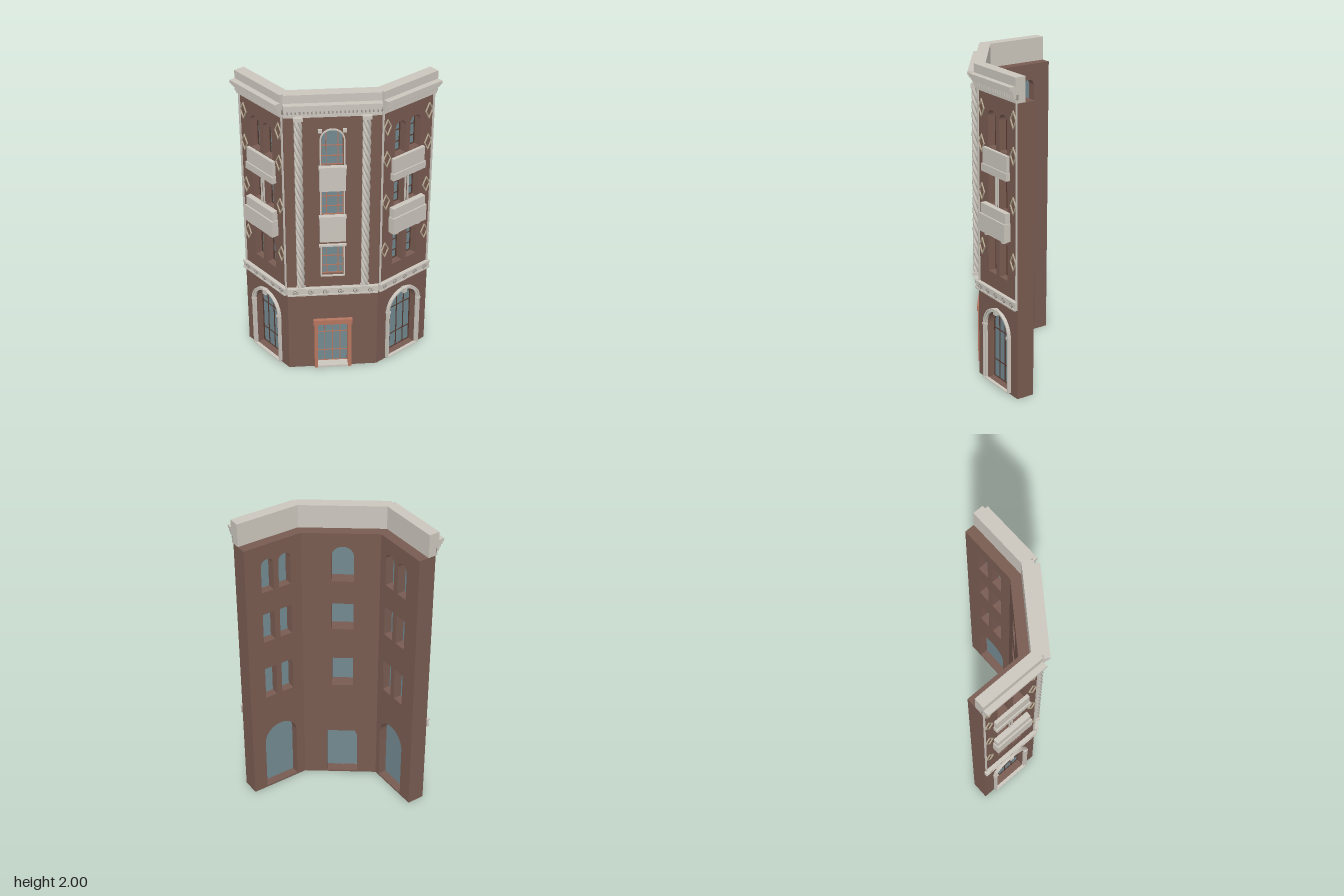
import * as THREE from 'three';

const mat = (name, color) => {
  const m = new THREE.MeshStandardMaterial({ color });
  m.name = name;
  return m;
};

export function createModel() {
  const brick = mat('brick', 0x785b51), stone = mat('stone', 0xcbc6bd), glass = mat('glass', 0x728990);
  const terracotta = mat('terracotta', 0xb4755f), wood = mat('dark wood', 0x553a31);
  const cream = mat('cream trim', 0xb9ad94), worn = mat('worn stone', 0x98938a);
  const T = 0.115; // wall thickness
  const model = new THREE.Group();
  model.name = 'cornerBuilding';

  const add = (parent, name, geo, material, x = 0, y = 0, z = 0) => {
    const m = new THREE.Mesh(geo, material);
    m.name = name;
    m.position.set(x, y, z);
    parent.add(m);
    return m;
  };

  // Box given by its limits; z is the distance out of the wall face
  const box = (parent, name, material, x0, x1, y0, y1, z0, z1) =>
    add(parent, name, new THREE.BoxGeometry(x1 - x0, y1 - y0, z1 - z0), material,
      (x0 + x1) / 2, (y0 + y1) / 2, (z0 + z1) / 2);

  // Rectangular or round-headed outline
  const outline = (o, grow = 0, C = THREE.Shape) => {
    const s = new C(), r = o.w / 2 + grow, b = o.y0 - (o.door ? 0 : grow), t = o.y1 + grow;
    s.moveTo(o.x - r, b);
    s.lineTo(o.x + r, b);
    if (o.arch) {
      s.lineTo(o.x + r, t - r);
      s.absarc(o.x, t - r, r, 0, Math.PI, false);
    } else {
      s.lineTo(o.x + r, t);
      s.lineTo(o.x - r, t);
    }
    s.closePath();
    return s;
  };
  const extrude = (shape, depth, z) => {
    const g = new THREE.ExtrudeGeometry(shape, { depth, bevelEnabled: false, curveSegments: 16 });
    return g.translate(0, 0, z);
  };
  const ring = (o, outer, inner, depth, z) => {
    const s = outline(o, outer);
    s.holes.push(outline({ ...o, y0: o.y0 + (o.door ? 0.004 : 0) }, inner, THREE.Path));
    return extrude(s, depth, z);
  };

  // Mitre the wall ends behind the face so neighbouring wings meet
  const mitre = (geo, L, a0, a1) => {
    const p = geo.attributes.position;
    for (let i = 0; i < p.count; i++) {
      const z = Math.min(0, p.getZ(i)), x = p.getX(i);
      if (x < 1e-4) p.setX(i, x - z * Math.tan(a0 / 2));
      else if (x > L - 1e-4) p.setX(i, x + z * Math.tan(a1 / 2));
    }
    geo.computeVertexNormals();
    return geo;
  };

  // Glass with frame and glazing bars
  const glaze = (parent, o, z, bar, columns, rows) => {
    add(parent, 'windowGlass', extrude(outline(o), 0.006, z), glass);
    add(parent, 'windowFrame', ring(o, 0, -0.005, 0.009, z + 0.003), bar);
    for (const c of columns) {
      const r = o.w / 2;
      const top = o.arch ? o.y1 - r + Math.sqrt(r * r - c * c) : o.y1;
      box(parent, 'glazingBar', bar, o.x + c - 0.0025, o.x + c + 0.0025, o.y0, top, z + 0.004, z + 0.011);
    }
    for (const y of rows)
      box(parent, 'glazingBar', bar, o.x - o.w / 2, o.x + o.w / 2, y - 0.0025, y + 0.0025, z + 0.004, z + 0.011);
  };

  // Spiral used along the frieze
  const spiral = new THREE.CatmullRomCurve3(Array.from({ length: 14 }, (_, i) => {
    const a = i * 0.7 - 2.6, r = 0.004 + i * 0.0011;
    return new THREE.Vector3(Math.cos(a) * r, Math.sin(a) * r, 0);
  }));
  const scrollGeo = new THREE.TubeGeometry(spiral, 28, 0.0028, 5);

  // One face of the building: wall, frieze and cornice
  const facade = (name, L, x, z, turn, a0, a1, openings, scrolls) => {
    const g = new THREE.Group();
    g.name = name;
    g.position.set(x, 0, z);
    g.rotation.y = turn;
    model.add(g);
    const s = new THREE.Shape([[0, 0], [L, 0], [L, 1.85], [0, 1.85]].map(p => new THREE.Vector2(...p)));
    openings.forEach(o => s.holes.push(outline(o, 0, THREE.Path)));
    add(g, 'wall', mitre(extrude(s, T, -T), L, a0, a1), brick);

    box(g, 'friezeBand', stone, 0, L, 0.595, 0.637, 0, 0.018);
    box(g, 'friezeLowerLip', stone, 0, L, 0.587, 0.597, 0, 0.024);
    box(g, 'friezeUpperLip', stone, 0, L, 0.632, 0.642, 0, 0.026);
    for (let i = 0; i < scrolls; i++)
      add(g, 'friezeScroll', scrollGeo, worn, L * (i + 0.5) / scrolls, 0.614, 0.019);

    const core = new THREE.BoxGeometry(L, 0.15, 0.05).toNonIndexed().translate(L / 2, 1.925, -0.025);
    add(g, 'parapetCore', mitre(core, L, a0, a1), stone);
    for (const [y0, y1, d] of [[1.85, 1.868, 0.014], [1.868, 1.9, 0.008], [1.9, 1.914, 0.036],
      [1.914, 1.928, 0.046], [1.928, 1.948, 0.057], [1.948, 2, 0.02]])
      box(g, 'corniceCourse', y0 === 1.868 ? worn : stone, 0, L, y0, y1, 0, d);
    const n = Math.round(L / 0.024);
    for (let i = 0; i < n; i++) {
      const c = L * (i + 0.5) / n;
      box(g, 'dentil', stone, c - 0.0075, c + 0.0075, 1.873, 1.9, 0, 0.028);
    }
    return g;
  };

  // Diamond outline ornament
  const diamond = k => [[0, -0.056], [0.031, 0], [0, 0.056], [-0.031, 0]].map(p => new THREE.Vector2(p[0] * k, p[1] * k));
  const diamondShape = new THREE.Shape(diamond(1));
  diamondShape.holes.push(new THREE.Path(diamond(0.8)));
  const diamondGeo = extrude(diamondShape, 0.007, 0);

  const WL = 0.43, C = 0.217, RA = 0.6236, LA = 0.939;
  const wing = (name, x, z, turn, a0, a1) => {
    const entry = { x: C, w: 0.236, y0: 0.012, y1: 0.497, arch: true, door: true };
    const windows = [];
    for (const s of [-1, 1])
      for (const [y0, y1, arch] of [[0.74, 0.965, false], [1.165, 1.37, false], [1.525, 1.75, true]])
        windows.push({ x: C + s * 0.06, w: 0.083, y0, y1, arch });
    const g = facade(name, WL, x, z, turn, a0, a1, [entry, ...windows], 5);

    for (const o of windows) glaze(g, o, -0.06, wood, [0], [o.y0 + 0.06, o.y0 + 0.14]);
    glaze(g, entry, -0.06, wood, [-0.06, 0, 0.06], [0.13, 0.345]);

    // Arch surround with keystone and imposts
    add(g, 'archSurround', ring(entry, 0.022, 0, 0.014, 0), stone);
    add(g, 'archRim', ring(entry, 0.022, 0.013, 0.022, 0), stone);
    box(g, 'keystone', stone, C - 0.013, C + 0.013, 0.485, 0.522, 0, 0.028);
    for (const s of [-1, 1]) {
      const px = C + s * 0.13;
      box(g, 'impost', stone, px - 0.014, px + 0.014, 0.37, 0.384, 0, 0.024);
      const ex = C + s * 0.203;
      box(g, 'edgeStrip', stone, ex - 0.005, ex + 0.005, 0.64, 1.85, 0, 0.008);
      for (const y of [0.88, 1.23, 1.53, 1.745])
        add(g, 'diamondOrnament', diamondGeo, cream, C + s * 0.168, y, 0);
      const mx = C + s * 0.011;
      box(g, 'mullionShaft', stone, mx - 0.004, mx + 0.004, 1.17, 1.38, 0, 0.008);
      box(g, 'balconyBracket', stone, C + s * 0.09 - 0.012, C + s * 0.09 + 0.012, 0.98, 1.002, 0, 0.03);
    }

    // Balconies
    box(g, 'lowerBalcony', stone, C - 0.138, C + 0.138, 1, 1.112, 0, 0.046);
    box(g, 'lowerBalconyRail', stone, C - 0.132, C + 0.132, 1.112, 1.176, 0, 0.036);
    box(g, 'upperBalconySlab', stone, C - 0.132, C + 0.132, 1.373, 1.42, 0, 0.03);
    box(g, 'upperBalcony', stone, C - 0.127, C + 0.127, 1.42, 1.52, 0, 0.022);
  };
  wing('leftWing', 0.242, 0.18, RA, RA, 0);
  wing('rightWing', -0.583, -0.167, -LA, 0, LA);

  // Central face
  const CL = 0.571, M = CL / 2;
  const door = { x: M, w: 0.2, y0: 0.012, y1: 0.355, door: true };
  const low = { x: M, w: 0.135, y0: 0.73, y1: 0.945 };
  const mid = { x: M, w: 0.135, y0: 1.165, y1: 1.355 };
  const high = { x: M, w: 0.135, y0: 1.515, y1: 1.76, arch: true };
  const centre = facade('centralFace', CL, -0.329, 0.18, 0, LA, RA, [door, low, mid, high], 6);
  for (const o of [low, mid, high]) {
    glaze(centre, o, -0.03, terracotta, [-0.035, 0.035], [o.y0 + 0.06, o.y0 + 0.13]);
    add(centre, 'windowSurround', ring(o, 0.008, 0, 0.01, 0), stone);
  }
  glaze(centre, door, -0.05, terracotta, [-0.05, 0, 0.05], [0.1, 0.25]);
  box(centre, 'doorStep', stone, M - 0.1, M + 0.1, 0, 0.014, -0.05, 0.018);
  for (const s of [-1, 1]) {
    const jx = M + s * 0.109, kx = M + s * 0.073;
    box(centre, 'doorJamb', terracotta, jx - 0.011, jx + 0.011, 0, 0.355, -0.02, 0.018);
    box(centre, 'archCorner', stone, kx - 0.012, kx + 0.012, 1.745, 1.766, 0, 0.014);
  }
  box(centre, 'doorLintel', terracotta, M - 0.125, M + 0.125, 0.353, 0.387, -0.01, 0.024);
  box(centre, 'windowLintel', stone, M - 0.084, M + 0.084, 0.95, 0.962, 0, 0.018);
  box(centre, 'windowSill', stone, M - 0.084, M + 0.084, 1.162, 1.175, 0, 0.032);
  box(centre, 'lowerPanel', stone, M - 0.08, M + 0.08, 0.99, 1.162, 0, 0.026);
  box(centre, 'upperPanel', stone, M - 0.08, M + 0.08, 1.353, 1.51, 0, 0.026);
  box(centre, 'upperSill', stone, M - 0.084, M + 0.084, 1.508, 1.52, 0, 0.032);

  // Twisted columns of four wound strands
  const strands = [0, 1, 2, 3].map(k => new THREE.TubeGeometry(new THREE.CatmullRomCurve3(
    Array.from({ length: 61 }, (_, i) => {
      const a = i / 60 * Math.PI * 10 + k * Math.PI / 2;
      return new THREE.Vector3(Math.cos(a) * 0.015, 0.64 + i / 60 * 1.21, Math.sin(a) * 0.015);
    })), 120, 0.0115, 6));
  for (const s of [-1, 1]) {
    const cx = M + s * 0.201;
    strands.forEach(t => add(centre, 'twistedColumn', t, stone, cx, 0, 0.014));
    box(centre, 'columnBase', stone, cx - 0.028, cx + 0.028, 0.64, 0.658, 0, 0.042);
    box(centre, 'columnCapital', stone, cx - 0.028, cx + 0.028, 1.838, 1.86, 0, 0.042);
  }
  return model;
}
